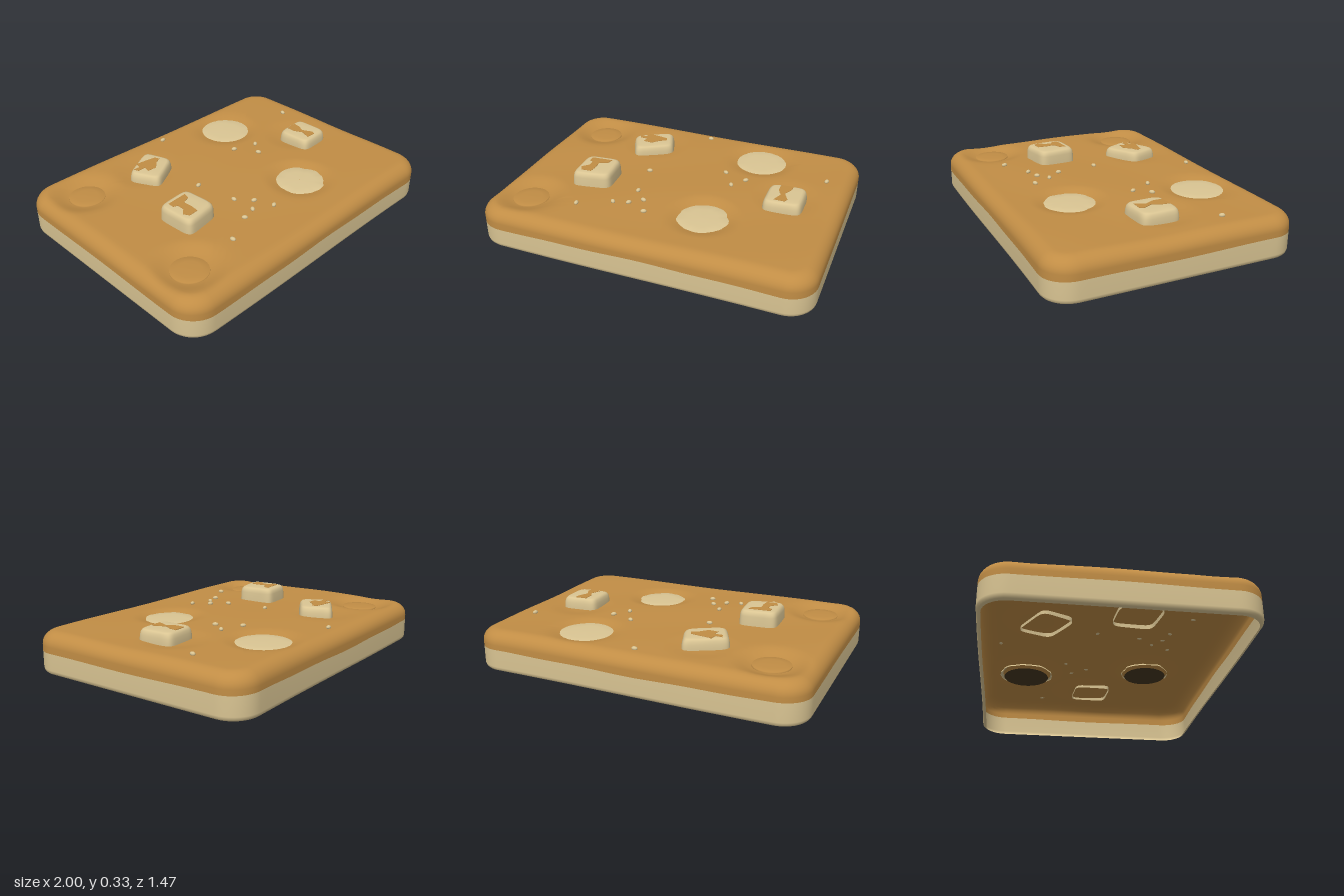
import * as THREE from 'three';

const material = (name, color, side = THREE.FrontSide) => {
  const m = new THREE.MeshStandardMaterial({ color, side });
  m.name = name;
  return m;
};

// Skin over closed rings of [x, y, z] points, listed from bottom to top
function loft(rings) {
  const n = rings[0].length, index = [];
  for (let i = 0; i < rings.length - 1; i++) {
    for (let j = 0; j < n; j++) {
      const a = i * n + j, b = i * n + (j + 1) % n;
      index.push(a, a + n, b, b, a + n, b + n);
    }
  }
  const g = new THREE.BufferGeometry();
  g.setAttribute('position', new THREE.Float32BufferAttribute(rings.flat(2), 3));
  g.setIndex(index);
  g.computeVertexNormals();
  return g;
}

// Dents in the top: x, z, radius, depth
const dents = [
  [0.39, -0.45, 0.24, 0.03], [0.27, 0.32, 0.23, 0.03],
  [-0.75, -0.47, 0.23, 0.035], [-0.77, 0.47, 0.23, 0.035],
  [0.66, -0.06, 0.22, 0.012], [-0.34, -0.42, 0.22, 0.01],
];
function topHeight(x, z) {
  let y = 0.241 + 0.003 * Math.sin(5 * x + 1) * Math.cos(4 * z) + 0.002 * Math.sin(9 * z + 4 * x);
  for (const [cx, cz, r, depth] of dents) {
    y -= depth * (1 - THREE.MathUtils.smoothstep(Math.hypot(x - cx, z - cz), 0.08, r));
  }
  return y;
}

// Rounded rectangle outline of the slab, pulled in by an inset
function outline(inset) {
  const pts = [], r = 0.16 - inset, cx = 0.84, cz = 0.577;
  const corners = [[1, 1], [-1, 1], [-1, -1], [1, -1]];
  corners.forEach(([sx, sz], k) => {
    for (let i = 0; i <= 10; i++) {
      const a = (k + i / 10) * Math.PI / 2;
      pts.push([sx * cx + r * Math.cos(a), sz * cz + r * Math.sin(a)]);
    }
    // points along the straight side to the next corner
    const [nx, nz] = corners[(k + 1) % 4], a = (k + 1) * Math.PI / 2;
    for (let i = 1; i < 30; i++) {
      const t = i / 30;
      pts.push([
        THREE.MathUtils.lerp(sx, nx, t) * cx + r * Math.cos(a),
        THREE.MathUtils.lerp(sz, nz, t) * cz + r * Math.sin(a)]);
    }
  });
  return pts.map(([x, z]) => [x, z * (1 - 0.006 * (1 + Math.sin(3 * x)))]);
}

export function createModel() {
  const model = new THREE.Group();
  model.name = 'bakedSlab';
  const crust = material('golden crust', 0xc18d45, THREE.DoubleSide);
  const dough = material('pale dough', 0xdac593, THREE.DoubleSide);
  const hollow = material('dark hollow', 0x453821);

  const add = (name, geometry, mat, parent = model) => {
    const mesh = new THREE.Mesh(geometry, mat);
    mesh.name = name;
    parent.add(mesh);
    return mesh;
  };

  // Pale side wall, open underneath
  const seam = (x, z) => 0.131 + 0.004 * Math.sin(4 * x + 2 * z) + 0.002 * Math.sin(11 * x - 7 * z);
  const wall = [[0.025, 0], [0.012, 0.006], [0.004, 0.015], [0, 0.03]]
    .map(([inset, y]) => outline(inset).map(([x, z]) => [x, y, z]));
  wall.push(outline(0).map(([x, z]) => [x, seam(x, z), z]));
  add('sideWall', loft(wall), dough);

  // Golden top with rounded rim and dented surface
  const top = [outline(0).map(([x, z]) => [x, seam(x, z), z])];
  const rim = 0.085;
  for (let i = 0; i <= 8; i++) {
    const a = i / 8 * Math.PI / 2;
    top.push(outline(rim * (1 - Math.cos(a))).map(([x, z]) =>
      [x, 0.165 + (topHeight(x, z) - 0.165) * Math.sin(a), z]));
  }
  const inner = outline(rim);
  for (let i = 1; i <= 44; i++) {
    const s = Math.max(1 - i / 44, 0.001);
    top.push(inner.map(([x, z]) => [x * s, topHeight(x * s, z * s), z * s]));
  }
  add('topCrust', loft(top), crust);

  // Low round caps resting in the four large dents
  function cap(name, x, z, y, rx, rz, rough, mat) {
    const rings = [[1, -0.008], [0.99, 0], [0.6, 0.003], [0.001, 0.004]].map(([s, dy]) => {
      const ring = [];
      for (let j = 0; j < 56; j++) {
        const a = j / 56 * Math.PI * 2;
        const k = s * (1 + rough * (Math.sin(5 * a + 1) + 0.7 * Math.sin(9 * a + x * 9) + 0.4 * Math.sin(17 * a)));
        ring.push([x + rx * k * Math.cos(a), y + dy, z + rz * k * Math.sin(a)]);
      }
      return ring;
    });
    add(name, loft(rings), mat);
    const under = add(name + 'Underside', new THREE.CircleGeometry(rx * 0.9, 40), hollow);
    under.rotation.x = Math.PI / 2;
    under.position.set(x, 0.2, z);
  }
  cap('backPaleSpot', 0.39, -0.45, 0.224, 0.16, 0.17, 0.02, dough);
  cap('frontPaleSpot', 0.27, 0.325, 0.224, 0.148, 0.15, 0.03, dough);
  cap('backRoundCap', -0.745, -0.46, 0.217, 0.106, 0.108, 0, crust);
  cap('frontRoundCap', -0.77, 0.47, 0.217, 0.106, 0.108, 0, crust);

  // Raised chunks: four corners, top height, toasted patch outline
  const chunks = [
    ['backChunk', [[-0.49, -0.39], [-0.25, -0.525], [-0.18, -0.33], [-0.4, -0.2]], 0.298,
      [[-0.44, -0.39], [-0.4, -0.39], [-0.39, -0.43], [-0.31, -0.42], [-0.26, -0.41], [-0.25, -0.38],
        [-0.29, -0.36], [-0.33, -0.315], [-0.39, -0.32], [-0.38, -0.36], [-0.43, -0.36]]],
    ['frontChunk', [[-0.61, 0.03], [-0.38, 0.01], [-0.36, 0.25], [-0.6, 0.29]], 0.328,
      [[-0.56, 0.07], [-0.43, 0.06], [-0.44, 0.1], [-0.49, 0.12], [-0.485, 0.18], [-0.49, 0.23],
        [-0.55, 0.235], [-0.57, 0.2], [-0.535, 0.165], [-0.535, 0.12], [-0.56, 0.11]]],
    ['sideChunk', [[0.545, -0.1], [0.775, -0.115], [0.78, 0.12], [0.55, 0.135]], 0.3,
      [[0.615, -0.08], [0.69, -0.085], [0.685, -0.04], [0.66, 0.01], [0.69, 0.07], [0.68, 0.095],
        [0.615, 0.095], [0.64, 0.03], [0.615, -0.02]]],
  ];
  for (const [name, [p, q, r, s], height, patch] of chunks) {
    const group = new THREE.Group();
    group.name = name;
    model.add(group);
    const profile = [[1, 0.215], [1, 0.24], [0.98, height - 0.035], [0.94, height - 0.016],
      [0.87, height - 0.005], [0.77, height], [0.4, height], [0.001, height]];
    const power = v => Math.sign(v) * Math.pow(Math.abs(v), 0.34);
    const rings = profile.map(([k, y]) => {
      const ring = [];
      for (let j = 0; j < 48; j++) {
        const a = (j + 0.5) / 48 * Math.PI * 2;
        const u = 0.5 + 0.5 * k * power(Math.cos(a)), v = 0.5 + 0.5 * k * power(Math.sin(a));
        const at = i => (1 - v) * ((1 - u) * p[i] + u * q[i]) + v * ((1 - u) * s[i] + u * r[i]);
        ring.push([at(0), y, at(1)]);
      }
      return ring;
    });
    add('chunkBody', loft(rings), dough, group);
    // thin toasted patch on top
    const shape = new THREE.Shape(patch.map(([x, z]) => new THREE.Vector2(x, -z)));
    const plate = add('toastedPatch',
      new THREE.ExtrudeGeometry(shape, { depth: 0.004, bevelEnabled: false }), crust, group);
    plate.rotation.x = -Math.PI / 2;
    plate.position.y = height - 0.002;
  }

  // Scattered crumbs
  const crumbs = [[-0.02, -0.62], [0.84, -0.32], [0.23, -0.2], [0.375, -0.15], [0.31, -0.06], [-0.225, -0.05],
    [-0.185, 0.21], [-0.11, 0.3], [-0.18, 0.355], [-0.27, 0.38], [-0.06, 0.41], [-0.46, 0.475]];
  crumbs.forEach(([x, z], i) => {
    const crumb = add('crumb', new THREE.IcosahedronGeometry(0.016, 1), dough);
    crumb.position.set(x, topHeight(x, z) + 0.006, z);
    crumb.rotation.y = i * 1.3;
    crumb.scale.set(1.15, 0.75, 0.8);
  });

  return model;
}
